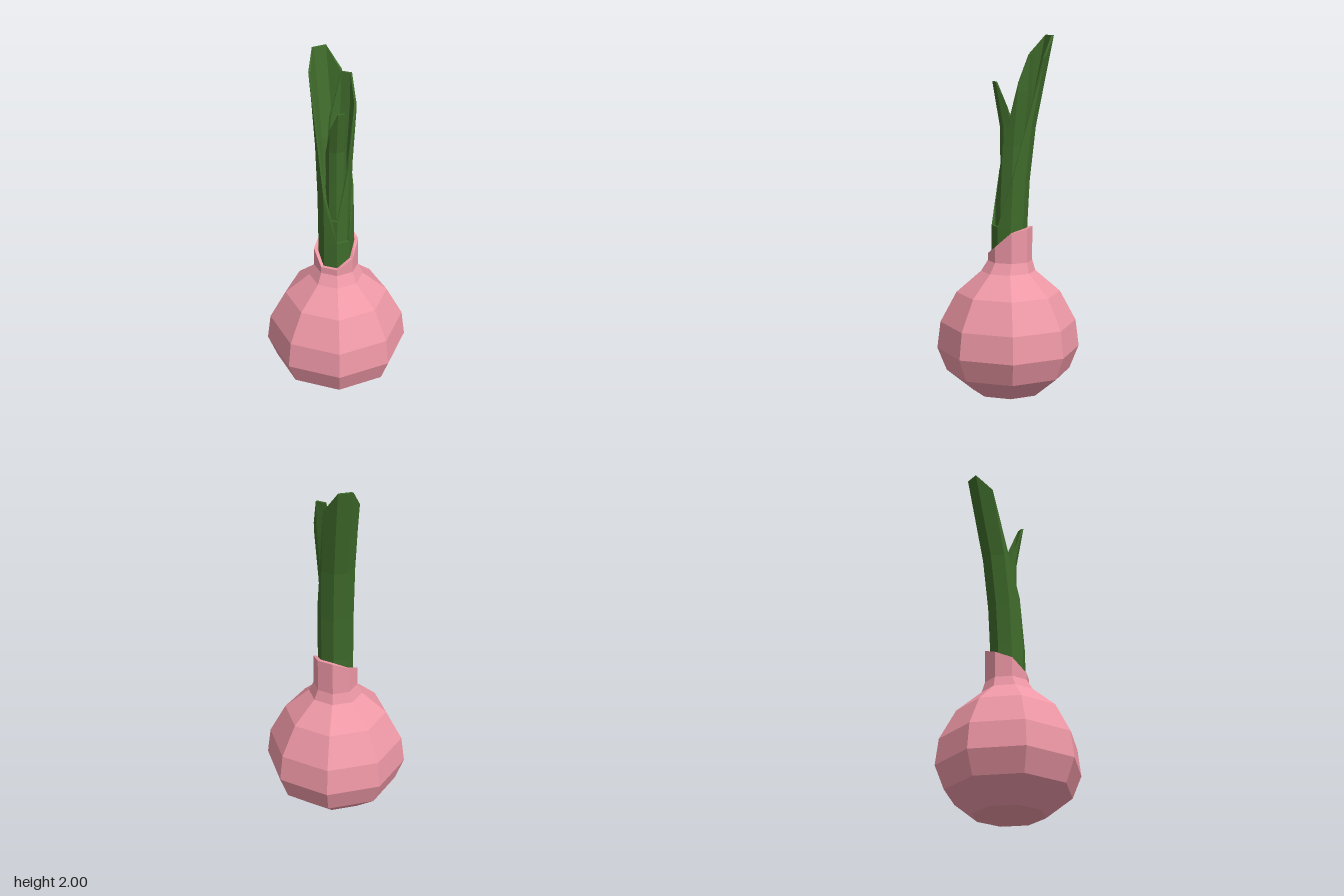
import * as THREE from 'three';

const SIDES = 8;

// Linear interpolation through rows of [y, centreX, centreZ, radius]
function sectionAt(path, y) {
  let i = 0;
  while (i < path.length - 2 && y > path[i + 1][0]) i++;
  const a = path[i], b = path[i + 1];
  const t = THREE.MathUtils.clamp((y - a[0]) / (b[0] - a[0]), 0, 1);
  return [1, 2, 3].map(k => a[k] + (b[k] - a[k]) * t);
}

// Eight-sided hollow stalk along a path. Each corner column stops at its own
// height; order: front, front-left, left, back-left, back, ... (from +z to +x).
function shell(name, color, path, heights, thickness, innerFrom) {
  const levels = path.map(p => p[0]);
  const ring = (y, inset, closed) => heights.map((h, k) => {
    const yy = Math.min(y, h);
    const [cx, cz, r] = sectionAt(path, yy);
    const a = k / SIDES * Math.PI * 2;
    const d = closed ? 0 : r - inset;
    return new THREE.Vector3(cx + Math.sin(a) * d, yy, cz + Math.cos(a) * d);
  });

  // Bottom cap, outer wall, rim, inner wall, inner floor
  const rows = [ring(levels[0], 0, true)];
  levels.forEach(y => rows.push(ring(y, 0)));
  levels.filter(y => y >= innerFrom).reverse().forEach(y => rows.push(ring(y, thickness)));
  rows.push(ring(innerFrom, 0, true));

  const pos = [];
  const tri = (a, b, c) => {
    if (new THREE.Triangle(a, b, c).getArea() < 1e-7) return;
    for (const p of [a, b, c]) pos.push(p.x, p.y, p.z);
  };
  for (let i = 0; i < rows.length - 1; i++) {
    for (let k = 0; k < SIDES; k++) {
      const n = (k + 1) % SIDES;
      const a = rows[i][k], b = rows[i][n], c = rows[i + 1][n], d = rows[i + 1][k];
      tri(a, b, c);
      tri(a, c, d);
    }
  }
  const geo = new THREE.BufferGeometry();
  geo.setAttribute('position', new THREE.Float32BufferAttribute(pos, 3));
  geo.computeVertexNormals();
  const mesh = new THREE.Mesh(geo, new THREE.MeshStandardMaterial({ color, flatShading: true }));
  mesh.name = name;
  return mesh;
}

export function createModel() {
  const group = new THREE.Group();
  group.name = 'sproutingOnion';
  const pink = 0xee98a6, green = 0x3f6b2b;

  // Faceted bulb with a slanted, open neck
  group.add(shell('bulb', pink, [
    [0, 0, 0, 0.2], [0.12, 0, 0, 0.35], [0.25, 0, 0, 0.402], [0.4, 0, 0, 0.383],
    [0.57, 0, 0, 0.292], [0.69, 0, 0, 0.153], [0.75, 0, -0.01, 0.125], [0.95, 0, -0.01, 0.125],
  ], [0.79, 0.84, 0.92, 0.94, 0.94, 0.9, 0.86, 0.79], 0.02, 0.69));

  // Tall outer leaf curving backwards, cut open at the front
  group.add(shell('outerLeaf', green, [
    [0.7, 0, -0.005, 0.1], [0.95, 0, -0.007, 0.1], [1.2, -0.002, -0.02, 0.1],
    [1.5, -0.01, -0.052, 0.102], [1.75, -0.025, -0.1, 0.104], [2, -0.042, -0.147, 0.108],
  ], [0.95, 0.95, 1.25, 1.88, 2, 2, 1.9, 1.25], 0.014, 0.7));

  // Middle leaf leaning to the model's left
  group.add(shell('middleLeaf', green, [
    [0.7, 0, -0.005, 0.082], [1.08, 0.003, -0.01, 0.08], [1.4, 0.01, -0.022, 0.08],
    [1.7, 0.028, -0.045, 0.082], [1.92, 0.035, -0.06, 0.078],
  ], [1.08, 1.4, 1.75, 1.9, 1.9, 1.65, 1.3, 1.08], 0.012, 0.7));

  // Short inner leaf bending forwards
  group.add(shell('innerLeaf', green, [
    [0.7, 0, -0.005, 0.062], [1.08, 0, -0.006, 0.06], [1.3, 0, -0.012, 0.056],
    [1.5, 0, -0.01, 0.056], [1.76, 0.006, 0.034, 0.056],
  ], [1.75, 1.75, 1.62, 1.45, 1.35, 1.35, 1.48, 1.65], 0.012, 0.7));

  return group;
}
